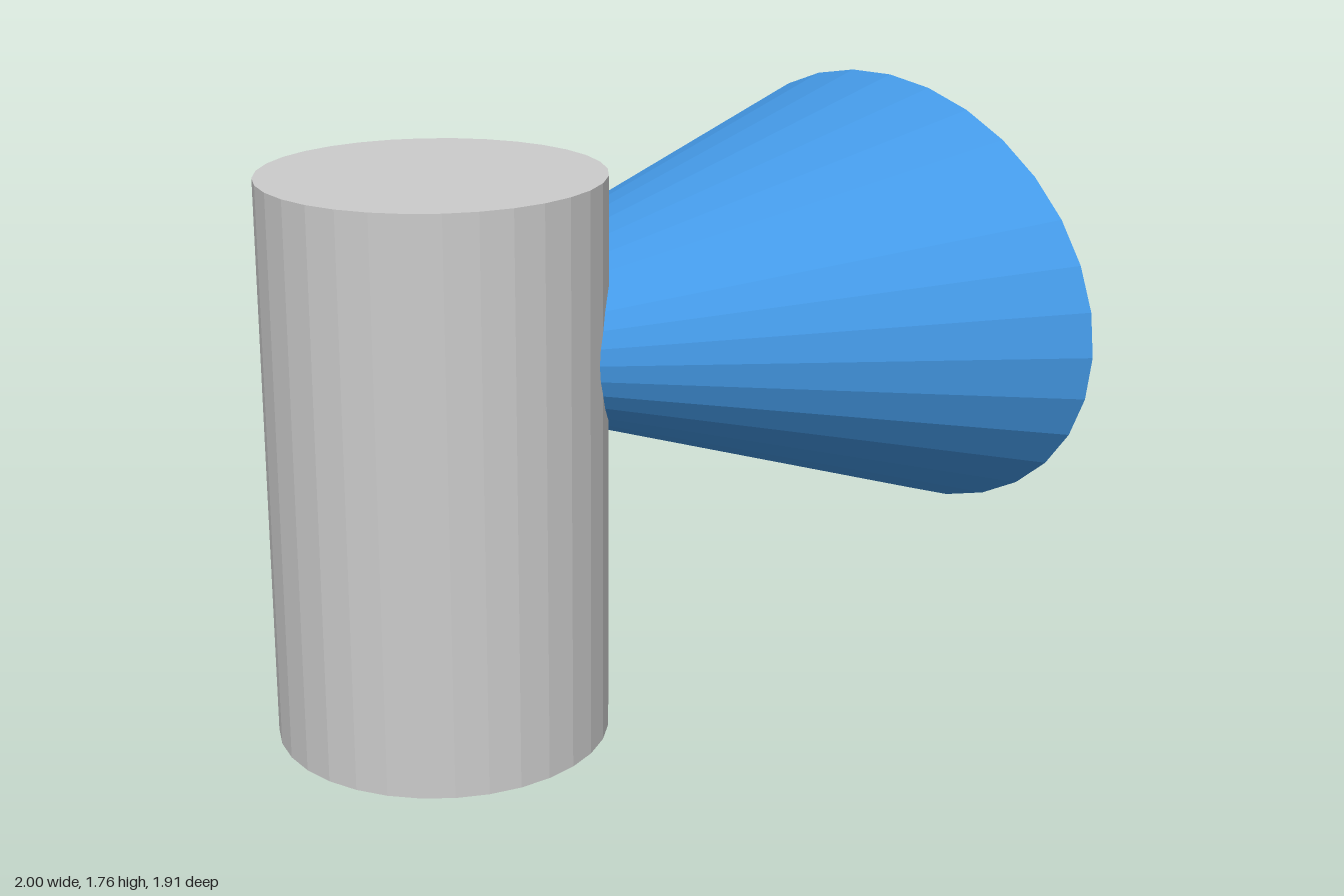
import * as THREE from 'three';

const SIDES = 32;

function part(name, geometry, color) {
  const mesh = new THREE.Mesh(geometry, new THREE.MeshStandardMaterial({ color, flatShading: true }));
  mesh.name = name;
  return mesh;
}

export function createModel() {
  const model = new THREE.Group();
  model.name = 'cylinderWithHorn';

  // Upright cylinder
  const radius = 0.4775, height = 1.62, axisX = -1 + radius;
  const body = part('body', new THREE.CylinderGeometry(radius, radius, height, SIDES), 0xcccccc);
  body.position.set(axisX, height / 2, 0);
  model.add(body);

  // Elliptical cone flaring sideways from the cylinder's axis
  const length = 1 - axisX;
  const cone = new THREE.CylinderGeometry(1, 0.203, length, SIDES);
  cone.rotateZ(-Math.PI / 2);
  cone.scale(1, 0.635, 0.953);
  const horn = part('horn', cone, 0x4499e6);
  horn.position.set(axisX + length / 2, 1.122, 0);
  model.add(horn);

  return model;
}
